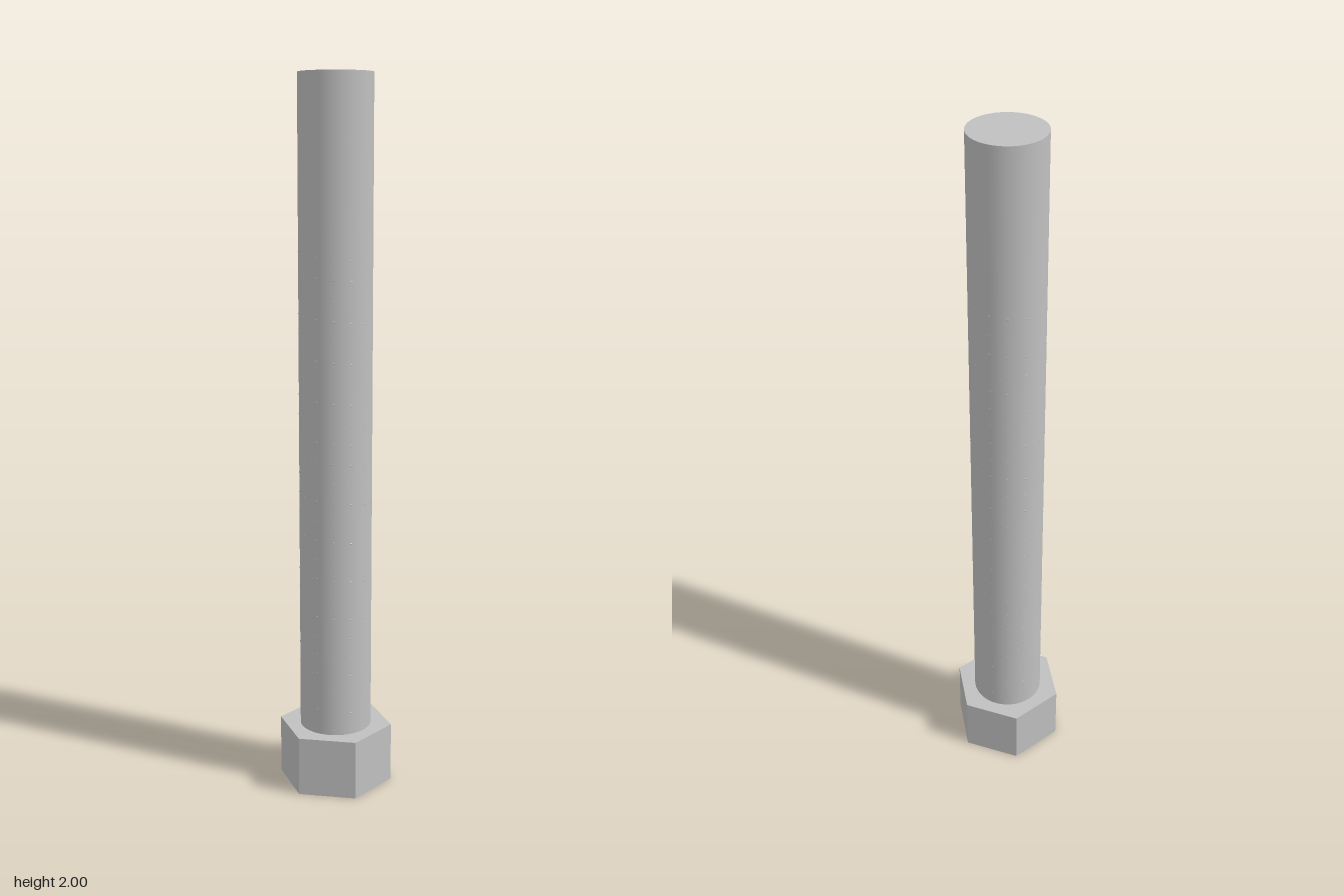
import * as THREE from 'three';
import { toCreasedNormals } from 'three/addons/utils/BufferGeometryUtils.js';

const HEAD_HEIGHT = 0.17;
const SHAFT_RADIUS = 0.102;
const THREAD_TOP = 1.56;
const THREAD_TURNS = 25;

// Helix running up the shaft
class Helix extends THREE.Curve {
  getPoint(t, target = new THREE.Vector3()) {
    const a = t * THREAD_TURNS * Math.PI * 2;
    const r = SHAFT_RADIUS - 0.003;
    return target.set(
      r * Math.cos(a),
      THREE.MathUtils.lerp(HEAD_HEIGHT, THREAD_TOP, t),
      r * Math.sin(a)
    );
  }
}

export function createModel() {
  const group = new THREE.Group();
  group.name = 'hexBolt';
  const steel = new THREE.MeshStandardMaterial({ color: 0xc0c0c0 });
  steel.name = 'steel grey';

  const add = (name, geometry, y = 0) => {
    const mesh = new THREE.Mesh(geometry, steel);
    mesh.name = name;
    mesh.position.y = y;
    group.add(mesh);
  };

  // Hexagonal head, corners pointing to the sides
  const head = new THREE.CylinderGeometry(0.163, 0.163, HEAD_HEIGHT, 6, 1, false, Math.PI / 2);
  add('head', toCreasedNormals(head, 0.5), HEAD_HEIGHT / 2);

  // Smooth round shaft
  const length = 2 - HEAD_HEIGHT;
  add('shaft', new THREE.CylinderGeometry(SHAFT_RADIUS, SHAFT_RADIUS, length, 48), HEAD_HEIGHT + length / 2);

  // Shallow thread, barely rising from the shaft
  add('thread', new THREE.TubeGeometry(new Helix(), THREAD_TURNS * 13, 0.004, 6));

  return group;
}
